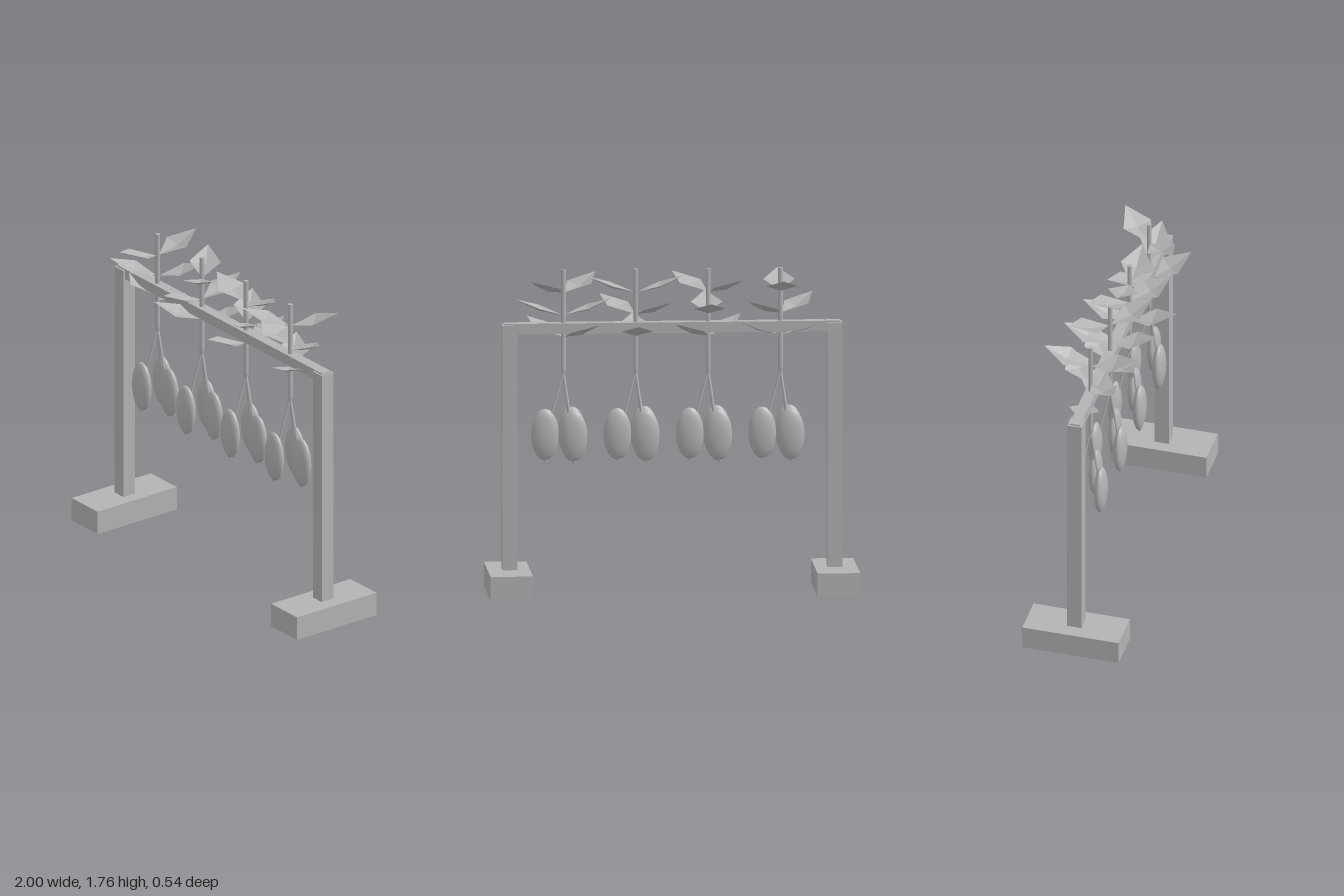
import * as THREE from 'three';

export function createModel() {
  const model = new THREE.Group();
  model.name = 'hangingFruitRack';
  const grey = new THREE.MeshStandardMaterial({ color: 0xb3b3b3, side: THREE.DoubleSide });
  grey.name = 'plain grey';

  const add = (parent, geometry, name, x = 0, y = 0, z = 0) => {
    const mesh = new THREE.Mesh(geometry, grey);
    mesh.name = name;
    mesh.position.set(x, y, z);
    parent.add(mesh);
    return mesh;
  };

  // Thin rod between two points
  const rod = (parent, a, b, radius, name) => {
    const dir = b.clone().sub(a);
    const mesh = add(parent, new THREE.CylinderGeometry(radius, radius, dir.length(), 8), name);
    mesh.position.copy(a).add(b).multiplyScalar(0.5);
    mesh.quaternion.setFromUnitVectors(new THREE.Vector3(0, 1, 0), dir.normalize());
  };

  // Frame: two feet, two posts and the cross rail
  for (const side of [-1, 1]) {
    add(model, new THREE.BoxGeometry(0.23, 0.132, 0.54), 'foot', side * 0.885, 0.066, 0);
    add(model, new THREE.BoxGeometry(0.08, 1.336, 0.08), 'post', side * 0.88, 0.8, 0);
  }
  add(model, new THREE.BoxGeometry(1.82, 0.058, 0.06), 'rail', 0, 1.447, 0);

  // Diamond leaf pointing along +x, folded to a shallow keel in the middle
  const keel = [0.13, 0.022, 0];
  const rim = [[0.008, 0, 0], [0.13, 0.043, 0.086], [0.262, 0.088, 0], [0.13, 0.043, -0.086]];
  const corners = rim.flatMap((p, i) => [keel, p, rim[(i + 1) % 4]]).flat();
  const leafGeometry = new THREE.BufferGeometry();
  leafGeometry.setAttribute('position', new THREE.Float32BufferAttribute(corners, 3));
  leafGeometry.computeVertexNormals();

  const fruitGeometry = new THREE.SphereGeometry(1, 28, 20).scale(0.075, 0.14, 0.034);
  const tipGeometry = new THREE.CylinderGeometry(0.011, 0.007, 0.02, 8);

  // Four plants hanging through the rail
  for (let c = 0; c < 4; c++) {
    const plant = new THREE.Group();
    plant.name = 'plant';
    plant.position.x = -0.588 + c * 0.392;
    model.add(plant);

    add(plant, new THREE.CylinderGeometry(0.0135, 0.0135, 0.545, 10), 'stem', 0, 1.4925, 0);
    add(plant, new THREE.CylinderGeometry(0.0135, 0.009, 0.03, 10), 'stemEnd', 0, 1.205, 0);

    // Three tiers of opposite leaves, each turned an eighth from the one below
    for (let tier = 0; tier < 3; tier++) {
      for (const half of [0, Math.PI]) {
        const leaf = add(plant, leafGeometry, 'leaf', 0, 1.4 + tier * 0.12, 0);
        leaf.rotation.y = (c + tier) * Math.PI / 4 + half;
      }
    }

    // Three flattened fruits on slim stalks
    for (const [x, z] of [[0.1, 0], [-0.05, 0.07], [-0.05, -0.07]]) {
      rod(plant, new THREE.Vector3(0, 1.21, 0), new THREE.Vector3(x * 0.75, 0.93, z * 0.8), 0.007, 'stalk');
      add(plant, fruitGeometry, 'fruit', x, 0.866, z);
      add(plant, tipGeometry, 'fruitTip', x - 0.005, 0.727, z);
    }
  }
  return model;
}
